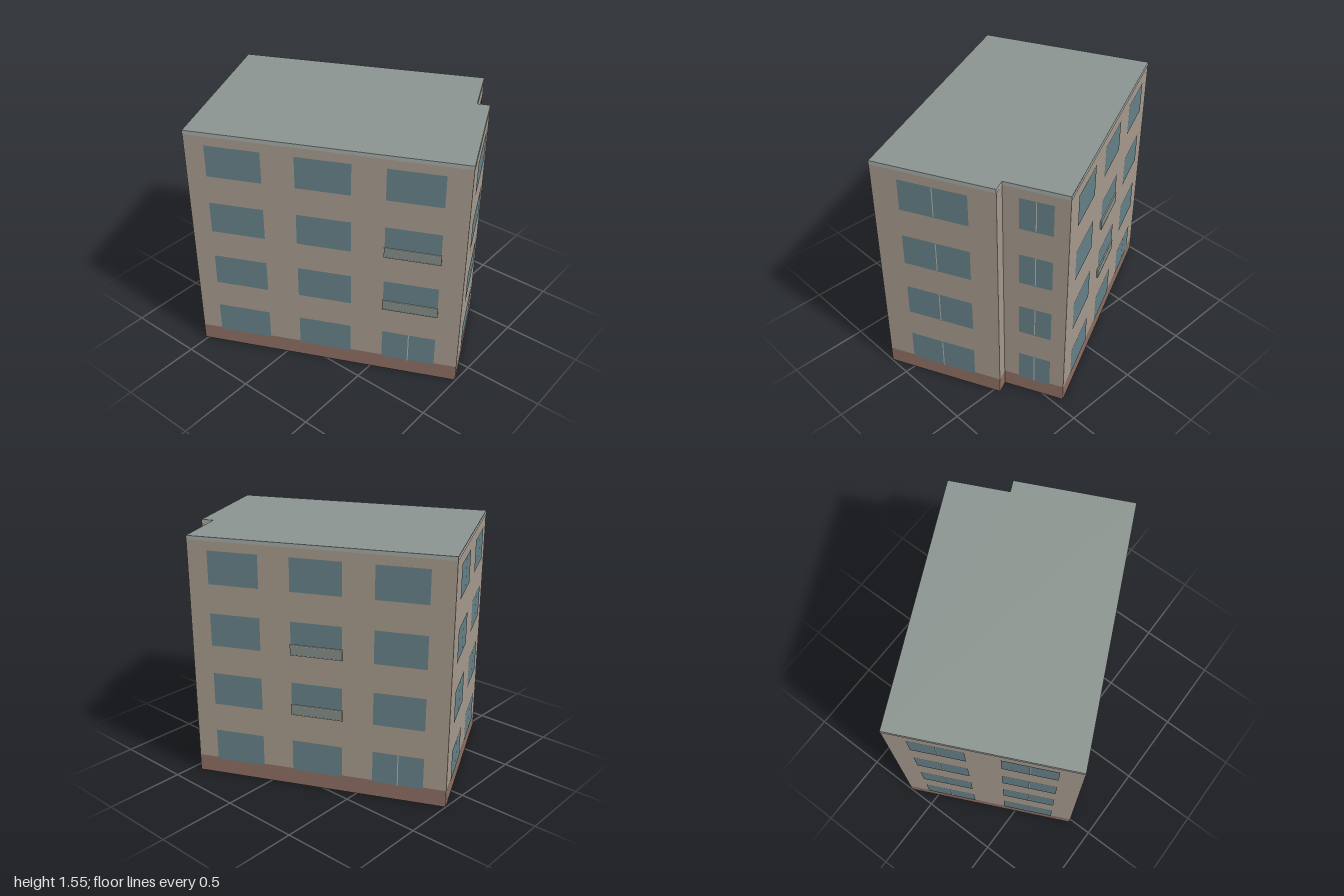
import * as THREE from 'three';

const HEIGHT = 1.55;
const BASE_TOP = 0.11;
const EAVES = 1.527;

// Footprint corners (x, z), running left to right as each wall is seen from outside
const F = [-0.145, 0.995], E = [0.535, 0.677], D = [0.502, 0.605];
const C = [0.85, 0.442], B = [0.175, -0.997], A = [-0.85, -0.518];
const FOOTPRINT = [F, E, D, C, B, A];

// Bottom and top of the windows on each floor
const FLOORS = [[0.1, 0.305], [0.487, 0.695], [0.877, 1.083], [1.265, 1.47]];

// Window columns: [start, end] as fractions of the wall; split = floors with a centre mullion
const ALL = [0, 1, 2, 3];
const SIDE = [
  { span: [0.08, 0.277], split: [] },
  { span: [0.397, 0.595], split: [], balcony: [1, 2] },
  { span: [0.715, 0.912], split: [0] },
];
const SIDE_LEFT = [
  { span: [0.075, 0.277], split: [] },
  { span: [0.397, 0.596], split: [] },
  { span: [0.716, 0.915], split: [0], balcony: [1, 2] },
];
const WALLS = [
  { name: 'frontWall', from: F, to: E, columns: [{ span: [0.22, 0.78], split: ALL }] },
  { name: 'stepWall', from: E, to: D, columns: [] },
  { name: 'recessedFrontWall', from: D, to: C, columns: [{ span: [0.25, 0.77], split: ALL }] },
  { name: 'rightWall', from: C, to: B, columns: SIDE },
  { name: 'backWall', from: B, to: A, columns: [{ span: [0.12, 0.41], split: ALL }, { span: [0.59, 0.88], split: ALL }] },
  { name: 'leftWall', from: A, to: F, columns: SIDE_LEFT },
];

const paint = (color, side = THREE.FrontSide) => new THREE.MeshStandardMaterial({ color, side });

export function createModel() {
  const model = new THREE.Group();
  model.name = 'apartmentBlock';

  const wallMat = paint(0xa5998c, THREE.DoubleSide);
  const baseMat = paint(0x8c6e61);
  const glassMat = paint(0x658088);
  const roofMat = paint(0x8b9490, THREE.DoubleSide);
  const trimMat = paint(0xa3aaa6);
  const railMat = paint(0xb4b3a8);
  const panelMat = paint(0x848e89);

  // Flat panel on a wall: x0..x1, y0..y1, raised by z
  function panel(parent, name, x0, x1, y0, y1, z, material) {
    const mesh = new THREE.Mesh(new THREE.PlaneGeometry(x1 - x0, y1 - y0), material);
    mesh.position.set((x0 + x1) / 2, (y0 + y1) / 2, z);
    mesh.name = name;
    parent.add(mesh);
  }

  function block(parent, name, x0, x1, y0, y1, depth, material) {
    const mesh = new THREE.Mesh(new THREE.BoxGeometry(x1 - x0, y1 - y0, depth), material);
    mesh.position.set((x0 + x1) / 2, (y0 + y1) / 2, depth / 2);
    mesh.name = name;
    parent.add(mesh);
  }

  // Shallow railing: infill panel between a bottom and a top rail
  function addBalcony(parent, x0, x1, y) {
    const balcony = new THREE.Group();
    balcony.name = 'balcony';
    block(balcony, 'balconyPanel', x0, x1, y + 0.005, y + 0.062, 0.01, panelMat);
    block(balcony, 'balconyBottomRail', x0, x1, y, y + 0.005, 0.011, railMat);
    block(balcony, 'balconyTopRail', x0, x1, y + 0.062, y + 0.067, 0.011, railMat);
    parent.add(balcony);
  }

  for (const { name, from, to, columns } of WALLS) {
    const dx = to[0] - from[0], dz = to[1] - from[1];
    const length = Math.hypot(dx, dz);

    // Local x runs along the wall, local z points outward
    const wall = new THREE.Group();
    wall.name = name;
    wall.position.set(from[0], 0, from[1]);
    wall.rotation.y = Math.atan2(-dz, dx);
    model.add(wall);

    panel(wall, 'wallSurface', 0, length, 0, HEIGHT, 0, wallMat);
    panel(wall, 'plinth', 0, length, 0, BASE_TOP, 0.002, baseMat);
    panel(wall, 'roofTrim', 0, length, EAVES, HEIGHT, 0.002, trimMat);

    for (const { span, split, balcony = [] } of columns) {
      const x0 = span[0] * length, x1 = span[1] * length, mid = (x0 + x1) / 2;
      FLOORS.forEach(([y0, y1], floor) => {
        panel(wall, 'window', x0, x1, y0, y1, 0.004, glassMat);
        if (split.includes(floor)) panel(wall, 'mullion', mid - 0.003, mid + 0.003, y0, y1, 0.006, railMat);
        if (balcony.includes(floor)) addBalcony(wall, x0 - 0.003, x1 + 0.003, y0 - 0.003);
      });
    }
  }

  // Flat roof over the stepped footprint; the underside of the building is open
  const outline = new THREE.Shape(FOOTPRINT.map(([x, z]) => new THREE.Vector2(x, -z)));
  const roof = new THREE.Mesh(new THREE.ShapeGeometry(outline).rotateX(-Math.PI / 2), roofMat);
  roof.position.y = HEIGHT;
  roof.name = 'roof';
  model.add(roof);

  return model;
}
